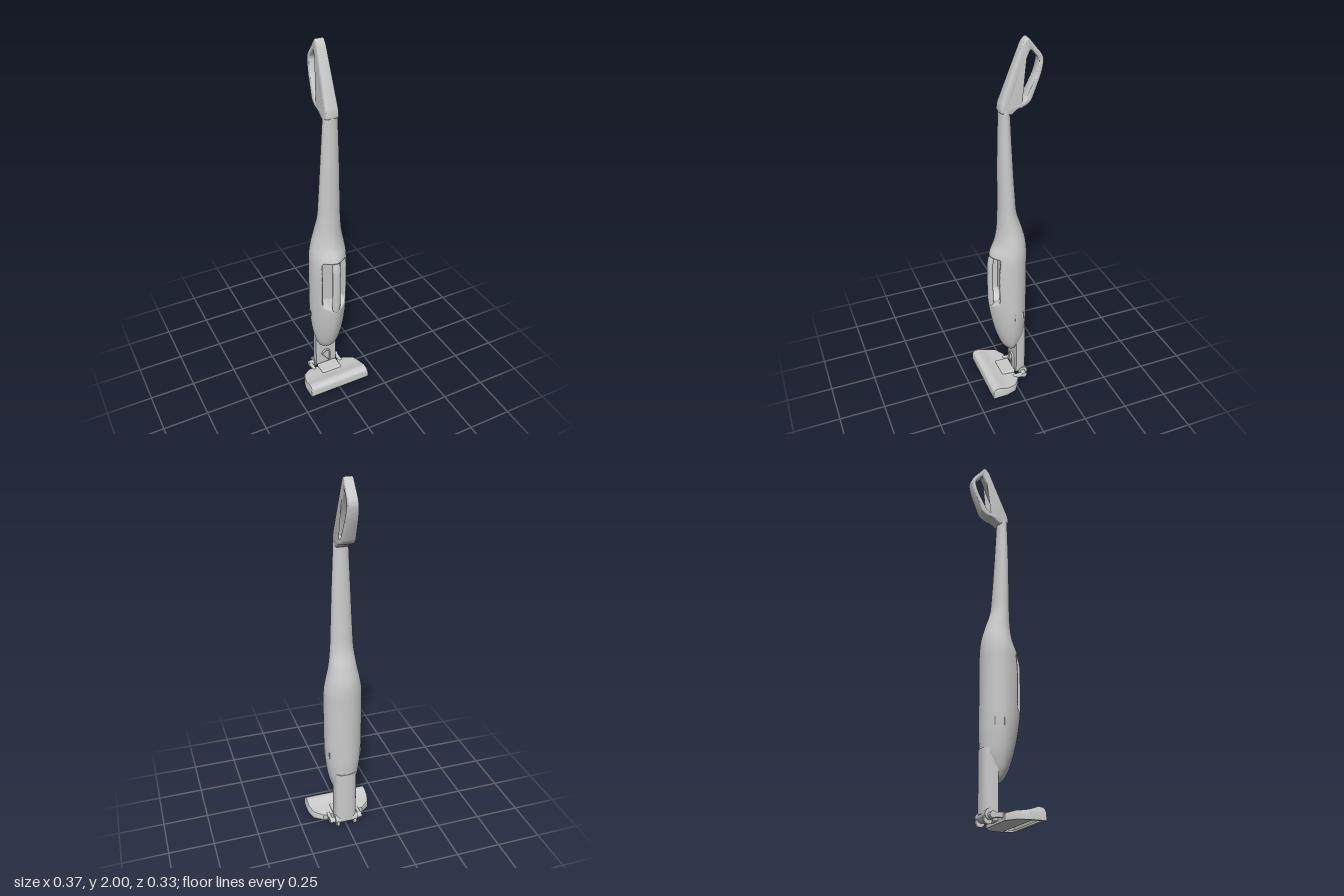
import * as THREE from 'three';
import { toCreasedNormals } from 'three/addons/utils/BufferGeometryUtils.js';
import { RoundedBoxGeometry } from 'three/addons/geometries/RoundedBoxGeometry.js';

const material = new THREE.MeshStandardMaterial({ color: 0xcccccc, side: THREE.DoubleSide });
const { smoothstep, lerp } = THREE.MathUtils;

function add(parent, name, geometry, x = 0, y = 0, z = 0) {
  const mesh = new THREE.Mesh(geometry, material);
  mesh.name = name;
  mesh.position.set(x, y, z);
  parent.add(mesh);
  return mesh;
}

// Surface from rows of points; point(i, j) returns [x, y, z]
function grid(rows, cols, wrap, point) {
  const pos = [], index = [];
  const n = wrap ? cols : cols + 1;
  for (let i = 0; i <= rows; i++) for (let j = 0; j < n; j++) pos.push(...point(i, j));
  for (let i = 0; i < rows; i++) {
    for (let j = 0; j < cols; j++) {
      const a = i * n + j, b = i * n + (j + 1) % n, c = a + n, d = b + n;
      index.push(a, c, b, b, c, d);
    }
  }
  const g = new THREE.BufferGeometry();
  g.setAttribute('position', new THREE.Float32BufferAttribute(pos, 3));
  g.setIndex(index);
  g.computeVertexNormals();
  return g;
}

// Closed outline with rounded corners; each corner is [x, y, radius]
function rounded(corners, path = new THREE.Shape()) {
  const n = corners.length;
  corners.forEach(([x, y, r], i) => {
    const p = new THREE.Vector2(x, y);
    const toward = (k) => {
      const q = corners[(i + k + n) % n];
      return new THREE.Vector2(q[0] - x, q[1] - y).setLength(r).add(p);
    };
    const a = toward(-1), b = toward(1);
    if (i === 0) path.moveTo(a.x, a.y); else path.lineTo(a.x, a.y);
    path.quadraticCurveTo(x, y, b.x, b.y);
  });
  path.closePath();
  return path;
}

function extrude(shape, depth, bevel = 0) {
  return new THREE.ExtrudeGeometry(shape, {
    depth: depth - 2 * bevel, bevelEnabled: bevel > 0, bevelSize: bevel, bevelThickness: bevel,
    bevelOffset: -bevel, bevelSegments: 4, curveSegments: 10,
  });
}

// Body and tapering tube: height, half width, front z, back z
function bodyGeometry() {
  const keys = [
    [0.195, 0.002, -0.002, -0.008], [0.21, 0.034, 0.02, -0.03], [0.24, 0.057, 0.043, -0.05],
    [0.3, 0.078, 0.068, -0.078], [0.4, 0.095, 0.096, -0.089], [0.5, 0.103, 0.114, -0.09],
    [0.58, 0.104, 0.122, -0.09], [0.8, 0.104, 0.122, -0.09], [0.87, 0.102, 0.108, -0.09],
    [0.93, 0.092, 0.082, -0.085], [1.0, 0.077, 0.068, -0.068], [1.1, 0.063, 0.062, -0.037],
    [1.2, 0.058, 0.061, -0.027], [1.4, 0.05, 0.06, -0.014], [1.67, 0.038, 0.054, 0],
  ];
  const curve = new THREE.CubicInterpolant(keys.map((k) => k[0]), keys.flatMap((k) => k.slice(1)), 3);
  const rows = 210, cols = 112;
  return grid(rows, cols, true, (i, j) => {
    const y = lerp(0.195, 1.67, i / rows);
    const [w, front, back] = curve.evaluate(y);
    const tube = smoothstep(y, 0.88, 1.1);
    const mid = lerp(Math.min(0, (front + back) / 2 + 0.02), (front + back) / 2, tube);
    const a = (j / cols) * Math.PI * 2, c = Math.cos(a), s = Math.sin(a);
    const e = s > 0 ? lerp(1.2, 1, tube) : 1;
    const x = w * Math.sign(c) * Math.abs(c) ** e;
    let z = mid + (s > 0 ? (front - mid) : (mid - back)) * Math.sign(s) * Math.abs(s) ** e;
    // hollow behind the carrying grip
    if (z > 0.045) {
      const bottom = 0.53 + Math.abs(x) * 0.5;
      const mask = (1 - smoothstep(Math.abs(x), 0.06, 0.068))
        * smoothstep(y, bottom, bottom + 0.04) * (1 - smoothstep(y, 0.84, 0.856));
      z = lerp(z, 0.045, mask);
    }
    return [x, y, z];
  });
}

// Loop handle, cut from its side outline and narrowed towards the top
function handleGeometry() {
  const shape = rounded([
    [0.055, 1.655, 0.008], [0.053, 1.69, 0.02], [-0.06, 1.98, 0.02], [-0.085, 2.003, 0.012],
    [-0.168, 1.9, 0.03], [-0.155, 1.83, 0.03], [-0.095, 1.68, 0.04], [-0.03, 1.668, 0.03],
    [0.0, 1.64, 0.01],
  ]);
  shape.holes.push(rounded([
    [0.012, 1.694, 0.015], [-0.065, 1.7, 0.03], [-0.128, 1.83, 0.03], [-0.142, 1.895, 0.02],
    [-0.098, 1.945, 0.012],
  ], new THREE.Path()));
  const g = extrude(shape, 0.072, 0.01);
  g.translate(0, 0, -0.026).rotateY(-Math.PI / 2);
  const p = g.attributes.position;
  for (let i = 0; i < p.count; i++) {
    p.setX(i, p.getX(i) * lerp(1, 0.7, smoothstep(p.getY(i), 1.64, 2)));
  }
  return toCreasedNormals(g, 0.7);
}

// Floor head shell: z, top height, half width
function headGeometry() {
  const rows = [
    [0.165, 0.01, 0.183], [0.165, 0.05, 0.183], [0.16, 0.061, 0.183], [0.15, 0.068, 0.183],
    [0.135, 0.071, 0.183], [0.12, 0.069, 0.183], [0.1, 0.062, 0.183], [0.08, 0.056, 0.182],
    [0.05, 0.052, 0.174], [0.025, 0.05, 0.165], [0.008, 0.047, 0.142], [-0.01, 0.043, 0.117],
    [-0.01, 0.01, 0.117],
  ];
  const across = [[-1, 0], [-1, 0.85], [-0.975, 1], [0.975, 1], [1, 0.85], [1, 0]];
  const g = grid(rows.length - 1, across.length - 1, false, (i, j) => {
    const [z, top, w] = rows[i], [u, v] = across[across.length - 1 - j];
    return [u * w, lerp(0.01, top, v), z];
  });
  return toCreasedNormals(g, 0.6);
}

export function createModel() {
  const model = new THREE.Group();
  model.name = 'uprightVacuum';

  add(model, 'body', bodyGeometry());
  add(model, 'loopHandle', handleGeometry());

  // Carrying grip bridging the front hollow
  const gripPath = new THREE.CatmullRomCurve3([
    [0.49, 0.092], [0.55, 0.106], [0.62, 0.109], [0.72, 0.109], [0.81, 0.107], [0.86, 0.094], [0.9, 0.075],
  ].map(([y, z]) => new THREE.Vector3(0, y, z)));
  add(model, 'carryGrip', new THREE.TubeGeometry(gripPath, 40, 0.015, 16)).scale.x = 1.5;

  // Neck with a flat front and rounded back
  const neck = new THREE.Shape();
  neck.moveTo(-0.063, -0.02);
  neck.lineTo(-0.063, -0.05);
  neck.bezierCurveTo(-0.06, -0.08, -0.035, -0.09, 0, -0.09);
  neck.bezierCurveTo(0.035, -0.09, 0.06, -0.08, 0.063, -0.05);
  neck.lineTo(0.063, -0.02);
  add(model, 'neck', toCreasedNormals(extrude(neck, 0.31).rotateX(Math.PI / 2), 0.7), 0, 0.36, 0);

  // Arched rim on the neck front
  const arch = new THREE.Shape();
  arch.moveTo(-0.028, 0.05);
  arch.absarc(0, 0.12, 0.028, Math.PI, 0, true);
  arch.lineTo(0.028, 0.05);
  const opening = new THREE.Path();
  opening.moveTo(-0.02, 0.055);
  opening.absarc(0, 0.12, 0.02, Math.PI, 0, true);
  opening.lineTo(0.02, 0.055);
  arch.holes.push(opening);
  add(model, 'neckArch', toCreasedNormals(extrude(arch, 0.012), 0.7), 0, 0, -0.021);

  // Floor head with a suction slot underneath
  add(model, 'floorHead', headGeometry());
  const sole = new THREE.Shape([
    [-0.183, 0.165], [-0.182, 0.08], [-0.165, 0.025], [-0.117, -0.01],
    [0.117, -0.01], [0.165, 0.025], [0.182, 0.08], [0.183, 0.165],
  ].map(([x, z]) => new THREE.Vector2(x * 0.995, z * 0.995)));
  sole.holes.push(rounded([
    [-0.165, 0.1, 0.008], [0.165, 0.1, 0.008], [0.165, 0.15, 0.008], [-0.165, 0.15, 0.008],
  ], new THREE.Path()));
  add(model, 'sole', extrude(sole, 0.01).rotateX(Math.PI / 2), 0, 0.02, 0);
  add(model, 'headCover', new RoundedBoxGeometry(0.12, 0.022, 0.08, 3, 0.008), 0, 0.05, 0.025);

  // Hinge joining head and neck
  const hinge = new THREE.Group();
  hinge.name = 'hinge';
  model.add(hinge);
  const axle = (r, length) => new THREE.CylinderGeometry(r, r, length, 24).rotateZ(Math.PI / 2);
  add(hinge, 'hingeBarrel', axle(0.027, 0.13), 0, 0.045, -0.06);
  add(hinge, 'hingeLink', new RoundedBoxGeometry(0.07, 0.028, 0.07, 3, 0.008), 0, 0.034, -0.025);
  for (const side of [-1, 1]) {
    add(hinge, 'hingeArm', new RoundedBoxGeometry(0.018, 0.026, 0.075, 3, 0.006), side * 0.085, 0.038, -0.03);
    add(hinge, 'hingeCap', axle(0.016, 0.05), side * 0.07, 0.038, -0.058);
    add(hinge, 'wheel', axle(0.022, 0.016), side * 0.05, 0.022, -0.068);
    // Small side vents
    for (const [x, z] of [[0.1025, 0], [0.089, -0.045]]) {
      add(model, 'sideVent', new THREE.BoxGeometry(0.004, 0.04, 0.008), side * x, 0.48, z);
    }
  }
  return model;
}
